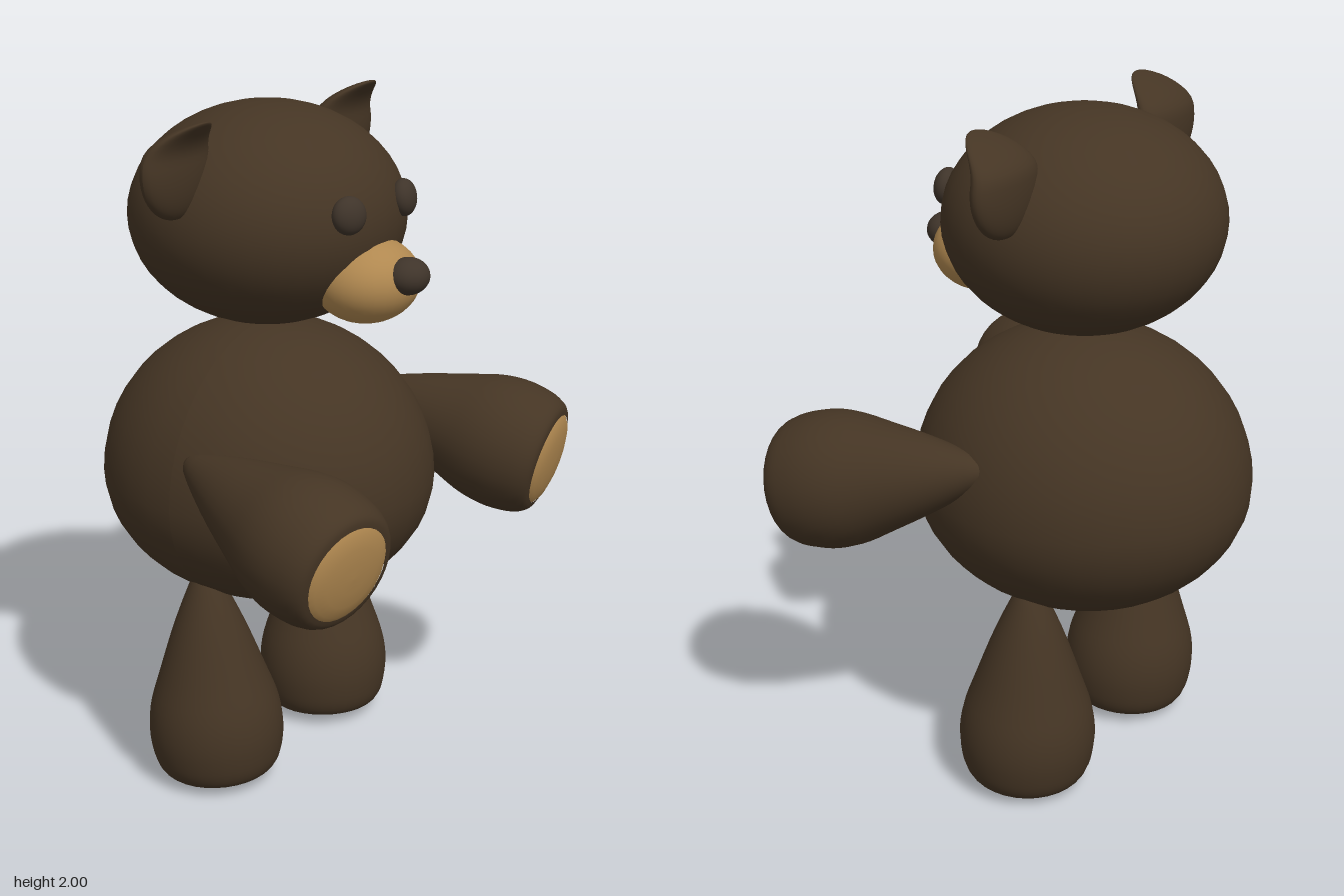
import * as THREE from 'three';

const fur = new THREE.MeshStandardMaterial({ color: 0x453524 });
const tan = new THREE.MeshStandardMaterial({ color: 0xb08850 });
const dark = new THREE.MeshStandardMaterial({ color: 0x3f342a });
const CX = 0.012; // middle of body and head

function add(parent, name, geometry, material, x = 0, y = 0, z = 0) {
  const mesh = new THREE.Mesh(geometry, material);
  mesh.name = name;
  mesh.position.set(x, y, z);
  parent.add(mesh);
  return mesh;
}

function ellipsoid(rx, ry, rz, w = 32, h = 20) {
  return new THREE.SphereGeometry(1, w, h).scale(rx, ry, rz);
}

// Moves every vertex of a geometry by a rule
function reshape(geometry, rule) {
  const p = geometry.attributes.position;
  const v = new THREE.Vector3();
  for (let i = 0; i < p.count; i++) {
    v.fromBufferAttribute(p, i);
    rule(v);
    p.setXYZ(i, v.x, v.y, v.z);
  }
  geometry.computeVertexNormals();
  return geometry;
}

const vec2 = (list) => list.map(([r, y]) => new THREE.Vector2(r, y));

// Teardrop limb: narrow at the joint, plump near the paw
const limbCurve = new THREE.SplineCurve(vec2([
  [0, 0], [0.035, 0.025], [0.1, 0.17], [0.157, 0.33], [0.19, 0.43],
  [0.2, 0.51], [0.193, 0.58], [0.18, 0.62], [0.162, 0.642], [0.14, 0.648],
]));
const limbGeometry = new THREE.LatheGeometry(limbCurve.getPoints(28), 32);
const padGeometry = new THREE.LatheGeometry(
  vec2([[0.142, 0.645], [0.125, 0.657], [0.09, 0.666], [0.045, 0.671], [0, 0.672]]), 32);

function limb(name, from, to) {
  const group = new THREE.Group();
  group.name = name;
  add(group, name + 'Fur', limbGeometry, fur);
  add(group, name + 'Pad', padGeometry, tan);
  group.position.copy(from);
  const direction = to.clone().sub(from).normalize();
  group.quaternion.setFromUnitVectors(new THREE.Vector3(0, 1, 0), direction);
  return group;
}

export function createModel() {
  const bear = new THREE.Group();
  bear.name = 'teddyBear';

  // Body: an egg, fuller below
  const egg = reshape(new THREE.SphereGeometry(1, 36, 24), (v) => {
    v.set(v.x * 0.473, v.y * (v.y > 0 ? 0.46 : 0.38), v.z * 0.5);
  });
  add(bear, 'body', egg, fur, CX, 0.9, -0.1);

  // Head and face
  add(bear, 'head', ellipsoid(0.4, 0.316, 0.4, 36, 24), fur, CX, 1.675, -0.1);
  add(bear, 'snout', ellipsoid(0.16, 0.122, 0.15), tan, CX, 1.528, 0.24);
  add(bear, 'nose', ellipsoid(0.065, 0.052, 0.06, 24, 16), dark, CX, 1.557, 0.377);

  // Ear: a thick disc whose upper rim curls forward
  const earGeometry = reshape(ellipsoid(0.137, 0.137, 0.05, 32, 24), (v) => {
    v.z += 8.6 * Math.max(0, v.y - 0.03) ** 2;
  });

  for (const [side, s] of [['left', 1], ['right', -1]]) {
    const eye = add(bear, side + 'Eye', ellipsoid(0.053, 0.053, 0.036, 24, 16), dark,
      CX + s * 0.137, 1.738, 0.272);
    eye.rotation.set(-0.12, s * 0.32, 0, 'YXZ');

    add(bear, side + 'Ear', earGeometry, fur, CX + s * 0.397, 1.862, -0.115);

    bear.add(limb(side + 'Arm',
      new THREE.Vector3(s * 0.42, 1.05, -0.065),
      new THREE.Vector3(s * 0.54, 0.9, 0.57)));
    bear.add(limb(side + 'Leg',
      new THREE.Vector3(CX + s * 0.295, 0.675, -0.115),
      new THREE.Vector3(CX + s * 0.275, 0, -0.085)));
  }
  return bear;
}
